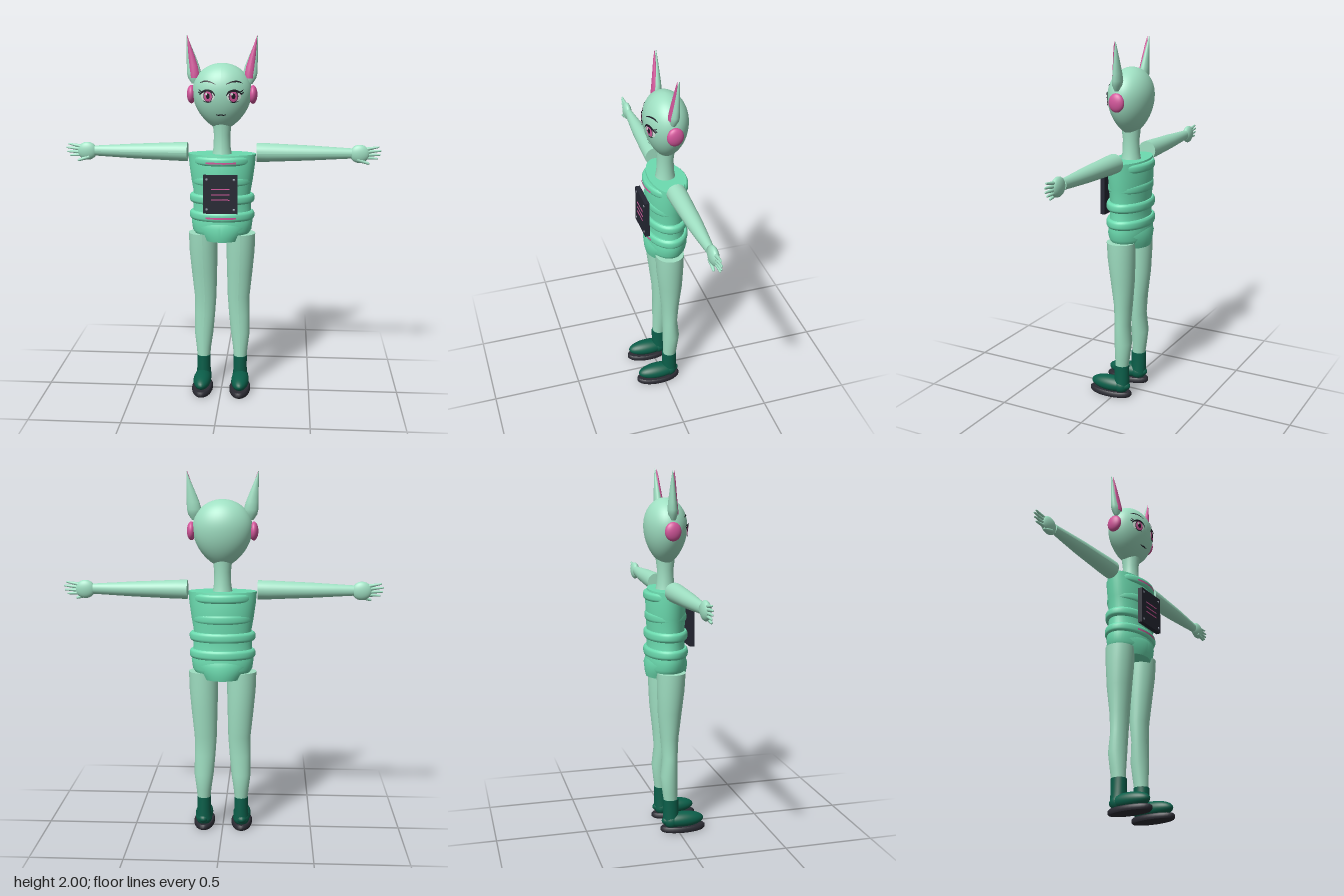
import * as THREE from 'three';

const mat = (name, color, side = THREE.FrontSide) => {
  const m = new THREE.MeshStandardMaterial({ color, side });
  m.name = name;
  return m;
};
const ZC = -0.04; // depth of the body's centre line

// Stack of elliptical sections [y, halfX, halfZ, centreX, centreZ] with flat caps
function loft(sections, n = 32) {
  const pos = [], idx = [];
  const ring = ([y, hx, hz, cx = 0, cz = 0]) => {
    const start = pos.length / 3;
    for (let i = 0; i <= n; i++) {
      const a = (i / n) * Math.PI * 2;
      pos.push(cx + Math.sin(a) * hx, y, cz + Math.cos(a) * hz);
    }
    return start;
  };
  const rings = sections.map(ring);
  for (let k = 0; k + 1 < rings.length; k++) {
    for (let i = 0; i < n; i++) {
      const a = rings[k] + i, b = rings[k + 1] + i;
      idx.push(a, a + 1, b + 1, a, b + 1, b);
    }
  }
  for (const [s, up] of [[sections[0], false], [sections[sections.length - 1], true]]) {
    const r = ring(s), c = pos.length / 3;
    pos.push(s[3] ?? 0, s[0], s[4] ?? 0);
    for (let i = 0; i < n; i++) idx.push(c, up ? r + i : r + i + 1, up ? r + i + 1 : r + i);
  }
  const g = new THREE.BufferGeometry();
  g.setAttribute('position', new THREE.Float32BufferAttribute(pos, 3));
  g.setIndex(idx);
  g.computeVertexNormals();
  return g;
}

// Egg-shaped head: relative radius at a height, and front surface depth
const headR = (y) => {
  const t = y > 1.705 ? (y - 1.705) / 0.15 : (1.705 - y) / 0.215;
  return Math.pow(Math.max(0, 1 - t * t), y > 1.705 ? 0.5 : 0.72);
};
const faceZ = (x, y) => {
  const r = headR(y);
  return ZC + 0.115 * Math.sqrt(Math.max(0, r * r - (x / 0.16) ** 2));
};

// Thin line following a curve, laid over a surface z = depth(x, y)
function strip(points, half, depth, lift, taper = true) {
  const curve = new THREE.CatmullRomCurve3(points.map(([x, y]) => new THREE.Vector3(x, y, 0)));
  const g = new THREE.PlaneGeometry(1, 1, 16, 1), p = g.attributes.position;
  for (let i = 0; i < p.count; i++) {
    const u = p.getX(i) + 0.5, c = curve.getPoint(u), t = curve.getTangent(u);
    const w = Math.sign(p.getY(i)) * half * (taper ? 0.25 + 0.75 * Math.sin(Math.PI * u) : 1);
    const x = c.x - t.y * w, y = c.y + t.x * w;
    p.setXYZ(i, x, y, depth(x, y) + lift);
  }
  g.computeVertexNormals();
  return g;
}

// Oval patch laid over the face
function patch(cx, cy, rx, ry, lift) {
  const g = new THREE.RingGeometry(0, 1, 28, 4), p = g.attributes.position;
  for (let i = 0; i < p.count; i++) {
    const x = cx + p.getX(i) * rx, y = cy + p.getY(i) * ry;
    p.setXYZ(i, x, y, faceZ(x, y) + lift);
  }
  g.computeVertexNormals();
  return g;
}

export function createModel() {
  const root = new THREE.Group();
  const skin = mat('skin', 0x9fdfc2), suit = mat('suit', 0x6cdcb0), boot = mat('boot', 0x0b5f4a);
  const sole = mat('sole', 0x2b2b33), panel = mat('panel', 0x252733), metal = mat('metal', 0x8a8f9c);
  const pink = mat('pink', 0xd4579c, THREE.DoubleSide), dark = mat('ink', 0x1c1a24, THREE.DoubleSide);
  const white = mat('eyeWhite', 0xe6f2ec);

  const add = (name, geometry, material, x = 0, y = 0, z = 0) => {
    const m = new THREE.Mesh(geometry, material);
    m.name = name;
    m.position.set(x, y, z);
    root.add(m);
    return m;
  };
  const ball = (name, material, x, y, z, rx, ry, rz) =>
    add(name, new THREE.SphereGeometry(1, 32, 20), material, x, y, z).scale.set(rx, ry, rz);
  // Tapered rod between two points
  const rod = (name, a, b, r0, r1, material) => {
    const A = new THREE.Vector3(...a), B = new THREE.Vector3(...b), d = B.clone().sub(A);
    const m = add(name, new THREE.CylinderGeometry(r1, r0, d.length(), 12), material);
    m.position.copy(A).addScaledVector(d, 0.5);
    m.quaternion.setFromUnitVectors(new THREE.Vector3(0, 1, 0), d.normalize());
    ball(name + 'Tip', material, ...b, r1, r1, r1);
  };

  // Head and neck
  const headSections = [];
  for (let i = 0; i <= 32; i++) {
    const y = 1.6725 - 0.1825 * Math.cos((i / 32) * Math.PI), r = Math.max(0.001, headR(y));
    headSections.push([y, 0.16 * r, 0.115 * r]);
  }
  add('head', loft(headSections, 48), skin, 0, 0, ZC);
  add('neck', loft([[1.36, 0.054, 0.054], [1.4, 0.047, 0.047], [1.47, 0.045, 0.045], [1.53, 0.052, 0.052]]), skin, 0, 0, ZC);

  // Torso core and pelvis
  add('torso', loft([[0.92, 0.15, 0.1], [0.94, 0.163, 0.108], [0.99, 0.17, 0.108], [1.04, 0.16, 0.1],
    [1.09, 0.16, 0.098], [1.15, 0.157, 0.1], [1.22, 0.169, 0.104], [1.3, 0.18, 0.104], [1.365, 0.186, 0.092]], 48), suit, 0, 0, ZC);
  add('pelvis', loft([[0.885, 0.112, 0.108], [0.91, 0.125, 0.114], [0.96, 0.155, 0.118], [0.995, 0.145, 0.105]], 48), suit, 0, 0, ZC);

  // Rounded suit bands
  for (const [y0, y1, hx, hz] of [[1.31, 1.355, 0.168, 0.118], [1.195, 1.245, 0.167, 0.11],
    [1.095, 1.145, 0.18, 0.116], [1.0, 1.05, 0.18, 0.118]]) {
    const profile = [[0, 0.93], [0.12, 0.975], [0.3, 1], [0.7, 1], [0.88, 0.975], [1, 0.93]];
    add('suitBand', loft(profile.map(([t, k]) => [y0 + (y1 - y0) * t, hx * k, hz * k]), 48), suit, 0, 0, ZC);
  }
  for (const y of [1.327, 1.022]) {
    const depth = (x) => ZC + 0.118 * Math.sqrt(1 - (x / 0.168) ** 2);
    add('suitStripe', strip([[-0.083, y], [0, y], [0.083, y]], 0.005, depth, 0.003, false), pink);
  }

  // Chest panel with bolts and lines
  add('chestPanel', new THREE.BoxGeometry(0.185, 0.21, 0.026), panel, 0, 1.16, 0.087);
  for (const y of [1.19, 1.16, 1.132]) add('panelLine', new THREE.BoxGeometry(0.1, 0.005, 0.003), pink, 0, y, 0.101);
  for (const x of [-0.074, 0.074]) for (const y of [1.078, 1.243]) ball('panelBolt', metal, x, y, 0.1, 0.007, 0.007, 0.004);

  // Mouth
  add('mouth', strip([[-0.03, 1.589], [-0.015, 1.584], [0, 1.586], [0.015, 1.584], [0.03, 1.589]], 0.0035, faceZ, 0.003), dark);

  for (const s of [1, -1]) {
    const line = (name, pts, half, lift = 0.006) =>
      add(name, strip(pts.map(([x, y]) => [s * x, y]), half, faceZ, lift), dark);

    // Eyes and brows
    add('eyeWhite', patch(s * 0.07, 1.685, 0.037, 0.028, 0.002), white);
    add('irisRim', patch(s * 0.068, 1.686, 0.025, 0.031, 0.003), dark);
    add('iris', patch(s * 0.068, 1.685, 0.022, 0.028, 0.004), pink);
    add('pupil', patch(s * 0.068, 1.687, 0.01, 0.015, 0.005), dark);
    add('eyeGlint', patch(s * 0.068 - 0.009, 1.698, 0.006, 0.007, 0.006), white);
    line('upperLash', [[0.029, 1.69], [0.045, 1.71], [0.072, 1.717], [0.098, 1.708], [0.113, 1.692]], 0.006);
    line('lashTip', [[0.098, 1.708], [0.11, 1.712], [0.119, 1.72]], 0.003);
    line('lashTip', [[0.105, 1.701], [0.115, 1.702], [0.123, 1.707]], 0.003);
    line('lowerLash', [[0.048, 1.658], [0.07, 1.654], [0.095, 1.661]], 0.0025);
    line('brow', [[0.028, 1.75], [0.06, 1.762], [0.09, 1.763], [0.113, 1.754]], 0.004, 0.003);

    // Pointed ears with a coloured inside
    const ear = [[1.745, 0.016, 0.012, 0.148], [1.775, 0.034, 0.024, 0.15], [1.8, 0.039, 0.026, 0.151],
      [1.84, 0.034, 0.022, 0.157], [1.9, 0.022, 0.015, 0.169], [1.96, 0.009, 0.008, 0.182], [2, 0.001, 0.001, 0.19]];
    const earSections = (k, kz, dx) => ear.map(([y, hx, hz, cx], i) => [y, hx * k, hz * kz, s * (cx - dx), -0.034 - i * 0.0025]);
    add('ear', loft(earSections(1, 1, 0), 20), skin);
    add('innerEar', loft(earSections(0.72, 0.8, 0.003).slice(1), 20), pink, 0, 0, 0.009);
    ball('earPad', pink, s * 0.167, 1.687, ZC, 0.024, 0.05, 0.044);

    // Arm, hand and fingers
    const arm = add('arm', loft([[0.19, 0.052, 0.052], [0.25, 0.051, 0.051], [0.36, 0.046, 0.046],
      [0.48, 0.041, 0.041], [0.6, 0.034, 0.031], [0.705, 0.028, 0.021]]), skin, 0, 1.372, ZC);
    arm.rotation.z = -s * Math.PI / 2;
    ball('palm', skin, s * 0.748, 1.37, ZC, 0.054, 0.05, 0.025);
    for (const [y0, x1, y1] of [[1.393, 0.848, 1.408], [1.379, 0.86, 1.388], [1.364, 0.857, 1.366], [1.35, 0.843, 1.345]])
      rod('finger', [s * 0.77, y0, ZC], [s * x1, y1, ZC], 0.012, 0.005, skin);
    rod('thumb', [s * 0.735, 1.34, ZC + 0.01], [s * 0.795, 1.32, ZC + 0.014], 0.013, 0.007, skin);

    // Leg: thigh, knee, calf, ankle
    add('leg', loft([[0.17, 0.035, 0.037, s * 0.105, -0.038], [0.24, 0.042, 0.042, s * 0.105, -0.043],
      [0.33, 0.054, 0.048, s * 0.104, -0.047], [0.44, 0.058, 0.042, s * 0.098, -0.041], [0.55, 0.062, 0.05, s * 0.094, -0.043],
      [0.7, 0.072, 0.066, s * 0.1, -0.042], [0.82, 0.079, 0.075, s * 0.104, -0.037], [0.92, 0.081, 0.079, s * 0.105, -0.035]]), skin);

    // Boot and sole
    add('bootCuff', loft([[0.06, 0.044, 0.044], [0.12, 0.038, 0.043], [0.192, 0.038, 0.043]]), boot, s * 0.105, 0, -0.038);
    ball('bootHeel', boot, s * 0.106, 0.065, -0.035, 0.046, 0.045, 0.046);
    ball('bootToe', boot, s * 0.108, 0.066, 0.03, 0.05, 0.044, 0.121);
    add('bootSole', loft([[0.004, 0.055, 0.122], [0.012, 0.059, 0.129], [0.026, 0.059, 0.129], [0.034, 0.052, 0.12]]), sole, s * 0.107, 0, 0.032);
  }
  root.name = 'figure';
  return root;
}
